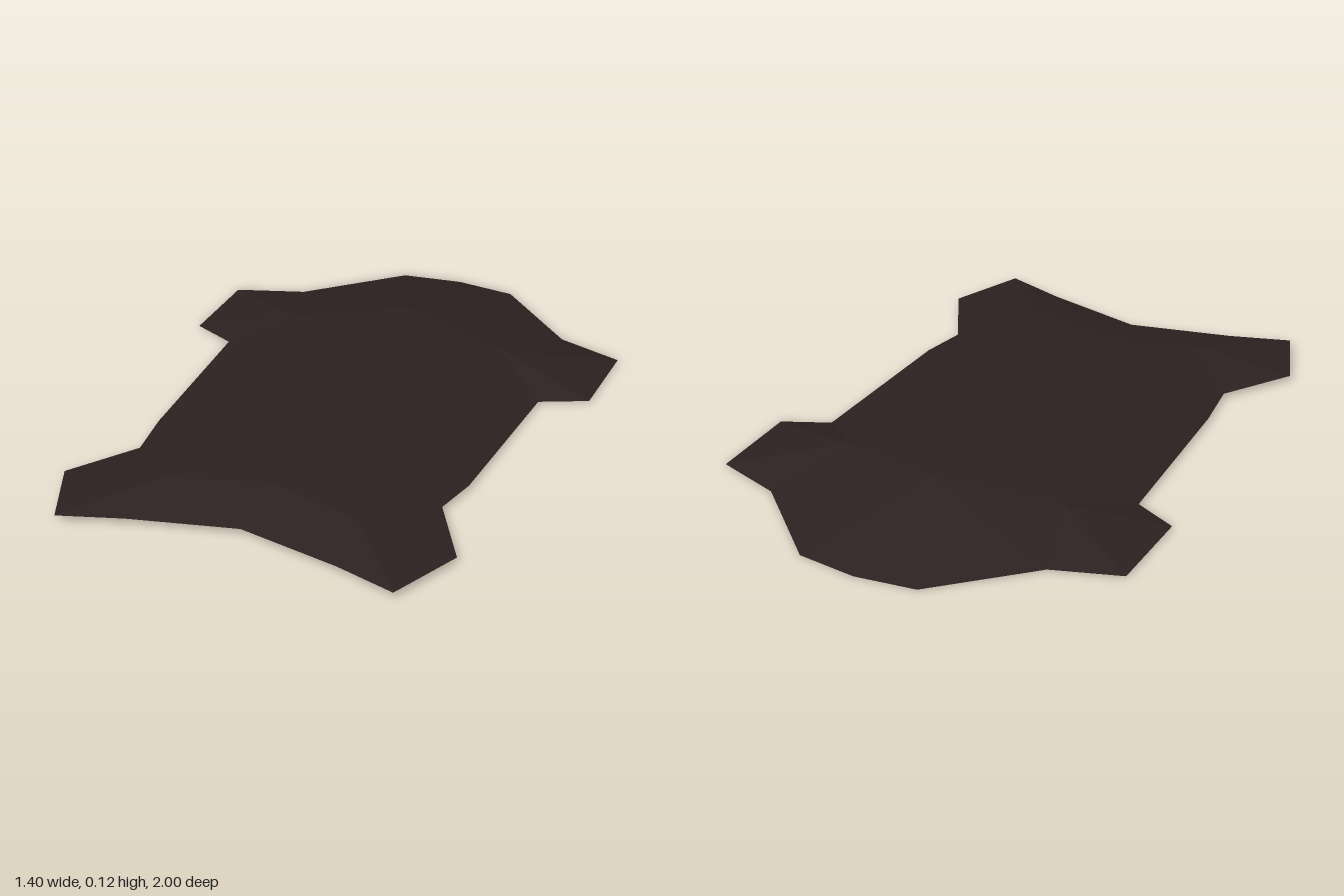
import * as THREE from 'three';

// Half outline of the hide, neck to tail notch: [x, z]
const leftEdge = [[0, -1], [0.2, -0.975], [0.48, -0.705], [0.7, -0.63], [0.7, -0.315], [0.55, -0.245],
  [0.53, 0.35], [0.5, 0.5], [0.64, 0.75], [0.54, 0.995], [0.34, 0.93], [0, 0.85]];
const rightEdge = leftEdge.map(([x, z], i) =>
  i === 5 ? [-0.555, z] : i === 6 ? [-0.52, z] : i === 7 ? [-0.495, 0.53] : [-x, z]);

// Raised points along the spine
const neck = new THREE.Vector3(0, 0.105, -0.54);
const peak = new THREE.Vector3(0.01, 0.115, -0.15);
const rump = new THREE.Vector3(0, 0.063, 0.64);

// The hide lies almost flat, its edge rising slightly to the front
const ground = ([x, z]) => new THREE.Vector3(x, 0.01 + 0.01 * z, z);

// Flat-shaded geometry whose triangles all face up (1) or down (-1)
function facing(triangles, sign) {
  const points = [];
  for (const [a, b, c] of triangles) {
    const up = b.clone().sub(a).cross(c.clone().sub(a)).y * sign;
    points.push(...(up > 0 ? [a, b, c] : [a, c, b]));
  }
  const geometry = new THREE.BufferGeometry().setFromPoints(points);
  geometry.computeVertexNormals();
  return geometry;
}

// One side of the top: fans from the raised points out to the edge
function upperHalf(edge, shoulder, flank, hip) {
  const rim = edge.map(ground);
  const chain = [[neck, 0, 2], [shoulder, 2, 5], [flank, 5, 7], [hip, 7, 10], [rump, 10, 11]];
  const triangles = [[neck, shoulder, peak], [shoulder, flank, peak], [flank, rump, peak], [flank, hip, rump]];
  chain.forEach(([point, from, to], i) => {
    for (let k = from; k < to; k++) triangles.push([point, rim[k], rim[k + 1]]);
    if (i < chain.length - 1) triangles.push([point, rim[to], chain[i + 1][0]]);
  });
  return facing(triangles, 1);
}

export function createModel() {
  const group = new THREE.Group();
  group.name = 'hide';
  const fur = new THREE.MeshStandardMaterial({ color: 0x2c2120, flatShading: true });
  fur.name = 'dark brown fur';
  const add = (name, geometry) => {
    const mesh = new THREE.Mesh(geometry, fur);
    mesh.name = name;
    group.add(mesh);
  };
  const v = (x, y, z) => new THREE.Vector3(x, y, z);

  // Top surface, left and right of the spine
  add('leftHide', upperHalf(leftEdge, v(0.36, 0.07, -0.43), v(0.2, 0.085, 0.07), v(0.32, 0.059, 0.73)));
  add('rightHide', upperHalf(rightEdge, v(-0.39, 0.055, -0.43), v(-0.15, 0.09, 0), v(-0.31, 0.059, 0.73)));

  // Flat underside filling the whole outline
  const outline = [...leftEdge, ...rightEdge.slice(1, -1).reverse()];
  const faces = THREE.ShapeUtils.triangulateShape(outline.map(([x, z]) => new THREE.Vector2(x, z)), []);
  add('underside', facing(faces.map((f) => f.map((i) => ground(outline[i]))), -1));

  return group;
}
